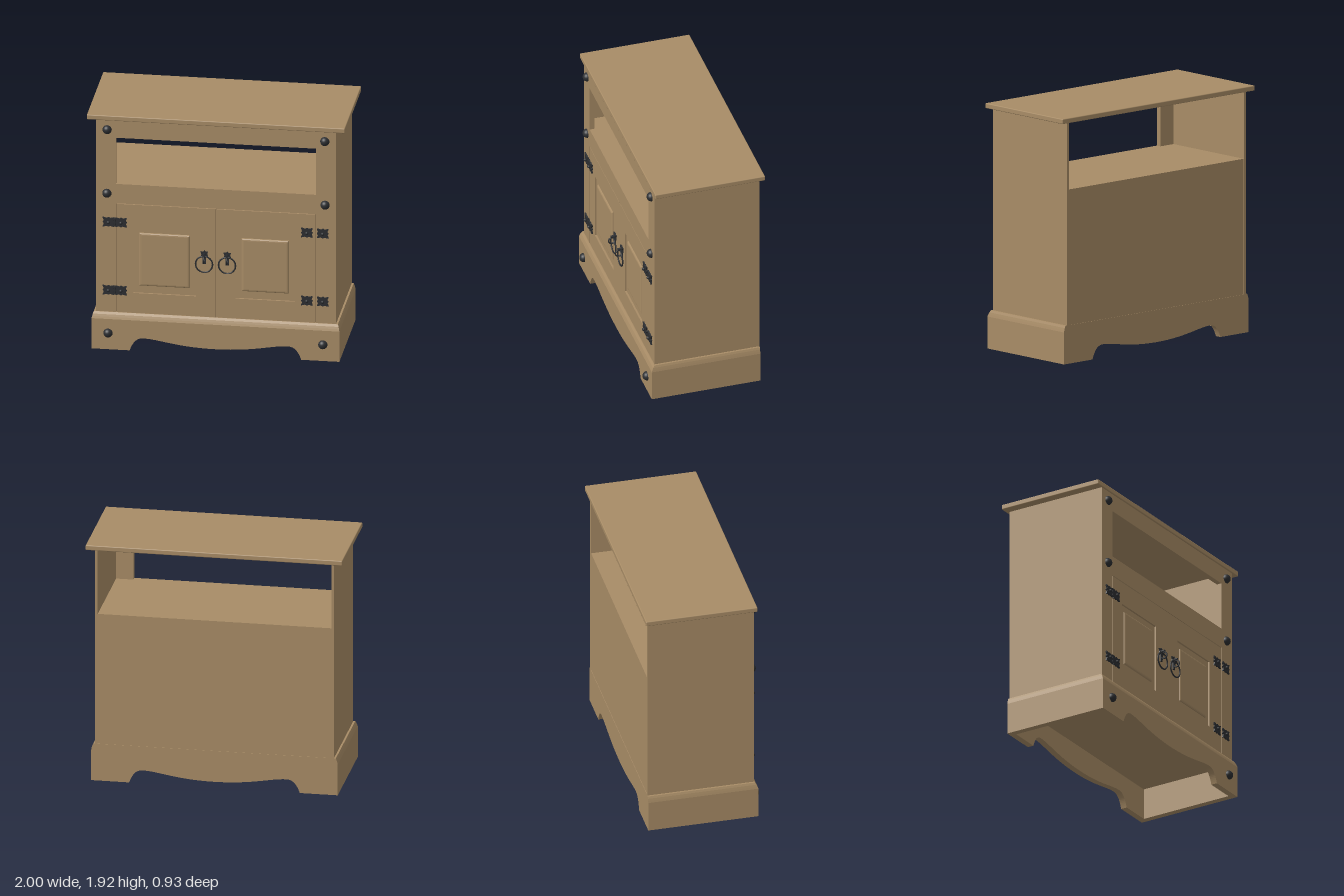
import * as THREE from 'three';
import { RoundedBoxGeometry } from 'three/addons/geometries/RoundedBoxGeometry.js';

const wood = new THREE.MeshStandardMaterial({ color: 0xa88c66 });
wood.name = 'waxed pine';
const iron = new THREE.MeshStandardMaterial({ color: 0x2c2e31 });
iron.name = 'black iron';

function add(parent, name, geometry, material, x = 0, y = 0, z = 0) {
  const mesh = new THREE.Mesh(geometry, material);
  mesh.name = name;
  mesh.position.set(x, y, z);
  parent.add(mesh);
  return mesh;
}

// Box given by its minimum and maximum corners
function board(parent, name, [x0, y0, z0], [x1, y1, z1]) {
  return add(parent, name, new THREE.BoxGeometry(x1 - x0, y1 - y0, z1 - z0), wood,
    (x0 + x1) / 2, (y0 + y1) / 2, (z0 + z1) / 2);
}

function rect(x0, x1, y0, y1, Type = THREE.Shape) {
  const s = new Type();
  s.moveTo(x0, y0);
  s.lineTo(x1, y0);
  s.lineTo(x1, y1);
  s.lineTo(x0, y1);
  s.closePath();
  return s;
}

// Flat slab whose front face ends at zFront
function slab(parent, name, shape, zFront, depth, material = wood) {
  const g = new THREE.ExtrudeGeometry(shape, { depth, bevelEnabled: false, curveSegments: 14 });
  return add(parent, name, g, material, 0, 0, zFront - depth);
}

// Plinth board with two feet and a scalloped lower edge
function apronShape(top) {
  const s = new THREE.Shape();
  s.moveTo(-0.96, 0);
  s.lineTo(-0.665, 0);
  s.bezierCurveTo(-0.64, 0.07, -0.61, 0.105, -0.56, 0.105);
  s.bezierCurveTo(-0.44, 0.105, -0.3, 0.048, 0, 0.048);
  s.bezierCurveTo(0.3, 0.048, 0.44, 0.105, 0.56, 0.105);
  s.bezierCurveTo(0.61, 0.105, 0.64, 0.07, 0.665, 0);
  s.lineTo(0.96, 0);
  s.lineTo(0.96, top);
  s.lineTo(-0.96, top);
  s.closePath();
  return s;
}

function plinth(parent) {
  const g = new THREE.Group();
  g.name = 'plinth';
  slab(g, 'frontApron', apronShape(0.25), 0.435, 0.05);
  slab(g, 'backApron', apronShape(0.25), -0.385, 0.05);
  for (const s of [-1, 1]) {
    const x = [s * 0.91, s * 0.96].sort((a, b) => a - b);
    board(g, 'plinthSide', [x[0], 0, -0.385], [x[1], 0.25, 0.385]);
  }
  // moulded cap, tapering at the front and sides but flat at the back
  const cap = new THREE.BoxGeometry(1.92, 0.05, 0.87, 1, 3, 1);
  const p = cap.attributes.position;
  const inset = [0, 0.006, 0.013, 0.025];
  for (let i = 0; i < p.count; i++) {
    const k = inset[Math.round((p.getY(i) + 0.025) / 0.05 * 3)];
    p.setX(i, p.getX(i) - Math.sign(p.getX(i)) * k * 0.6);
    if (p.getZ(i) > 0) p.setZ(i, p.getZ(i) - k);
  }
  const flat = cap.toNonIndexed();
  flat.computeVertexNormals();
  add(g, 'plinthCap', flat, wood, 0, 0.275, 0);
  parent.add(g);
}

// Framed door with a raised centre field
function door(parent, name, [x0, x1], [hx0, hx1], [fx0, fx1]) {
  const g = new THREE.Group();
  g.name = name;
  const frame = rect(x0, x1, 0.3, 1.195);
  frame.holes.push(rect(hx0, hx1, 0.465, 1.012, THREE.Path));
  slab(g, 'doorFrame', frame, 0.405, 0.03);
  board(g, 'doorPanel', [hx0 - 0.02, 0.44, 0.37], [hx1 + 0.02, 1.03, 0.39]);
  const b = 0.018;
  const field = new THREE.ExtrudeGeometry(rect(fx0 + b, fx1 - b, 0.525 + b, 0.962 - b),
    { depth: 0.002, bevelSize: b, bevelThickness: 0.012, bevelSegments: 3 });
  add(g, 'raisedField', field, wood, 0, 0, 0.389);
  parent.add(g);
}

// Hinge leaf with notched corners and a centre pin
function hingeLeaf(parent, x, y) {
  const s = new THREE.Shape();
  const n = 48;
  for (let i = 0; i < n; i++) {
    const a = (i / n) * Math.PI * 2;
    const square = 1 / Math.max(Math.abs(Math.cos(a)), Math.abs(Math.sin(a)));
    const r = square * (0.92 + 0.1 * Math.cos(8 * a));
    s[i ? 'lineTo' : 'moveTo'](x + 0.044 * r * Math.cos(a), y + 0.038 * r * Math.sin(a));
  }
  slab(parent, 'hingeLeaf', s, 0.417, 0.014, iron);
  add(parent, 'hingePin', new THREE.SphereGeometry(0.013, 12, 8), iron, x, y, 0.424);
}

function ringHandle(parent, x) {
  const g = new THREE.Group();
  g.name = 'ringHandle';
  g.position.set(x, 0, 0);
  const plate = new THREE.Shape();
  [[-0.012, 0.74], [0.012, 0.74], [0.014, 0.795], [0.028, 0.8], [0.022, 0.822], [0.03, 0.842],
    [0.01, 0.84], [0, 0.852], [-0.01, 0.84], [-0.03, 0.842], [-0.022, 0.822], [-0.028, 0.8],
    [-0.014, 0.795]].forEach(([px, py], i) => plate[i ? 'lineTo' : 'moveTo'](px, py));
  slab(g, 'handlePlate', plate, 0.416, 0.014, iron);
  const eye = add(g, 'handleEye', new THREE.TorusGeometry(0.026, 0.006, 8, 20), iron, 0, 0.785, 0.436);
  eye.rotation.y = Math.PI / 2;
  const post = add(g, 'handlePost', new THREE.CylinderGeometry(0.01, 0.01, 0.04, 12), iron, 0, 0.822, 0.424);
  post.rotation.x = Math.PI / 2;
  add(g, 'pullRing', new THREE.TorusGeometry(0.066, 0.006, 8, 40), iron, 0, 0.742, 0.424);
  parent.add(g);
}

export function createModel() {
  const cabinet = new THREE.Group();
  cabinet.name = 'cabinet';

  // Carcass
  add(cabinet, 'topBoard', new RoundedBoxGeometry(2, 0.04, 0.88, 2, 0.007), wood, 0, 1.905, -0.022);
  for (const s of [-1, 1]) {
    const x = [s * 0.91, s * 0.93].sort((a, b) => a - b);
    board(cabinet, 'sidePanel', [x[0], 0.29, -0.435], [x[1], 1.887, 0.4]);
  }
  board(cabinet, 'shelf', [-0.91, 1.33, -0.43], [0.91, 1.36, 0.38]);
  board(cabinet, 'backPanel', [-0.91, 0.25, -0.432], [0.91, 1.36, -0.41]);
  plinth(cabinet);

  // Face frame with openings for the niche and the doors
  const face = rect(-0.93, 0.93, 0.28, 1.887);
  face.holes.push(rect(-0.775, 0.775, 1.36, 1.742, THREE.Path));
  face.holes.push(rect(-0.775, 0.775, 0.29, 1.2, THREE.Path));
  slab(cabinet, 'faceFrame', face, 0.405, 0.04);
  board(cabinet, 'doorStop', [-0.8, 0.29, 0.355], [0.8, 1.22, 0.375]);

  // Doors
  door(cabinet, 'rightDoor', [-0.771, -0.002], [-0.64, -0.155], [-0.597, -0.203]);
  door(cabinet, 'leftDoor', [0.002, 0.771], [0.15, 0.607], [0.197, 0.563]);

  // Ironwork
  const hinges = new THREE.Group();
  hinges.name = 'hinges';
  cabinet.add(hinges);
  for (const y of [0.482, 1.045]) {
    for (const x of [-0.832, -0.735, 0.705, 0.828]) hingeLeaf(hinges, x, y);
    add(hinges, 'hingeBarrel', new THREE.CylinderGeometry(0.009, 0.009, 0.06, 10), iron, -0.783, y, 0.411);
  }
  for (const x of [-0.09, 0.088]) ringHandle(cabinet, x);

  // Domed studs
  const dome = new THREE.SphereGeometry(0.036, 20, 10, 0, Math.PI * 2, 0, Math.PI / 2);
  dome.rotateX(Math.PI / 2);
  for (const [y, z, x] of [[1.806, 0.404, 0.843], [1.28, 0.404, 0.845], [0.135, 0.434, 0.832]]) {
    for (const s of [-1, 1]) add(cabinet, 'stud', dome, iron, s * x, y, z);
  }
  return cabinet;
}
